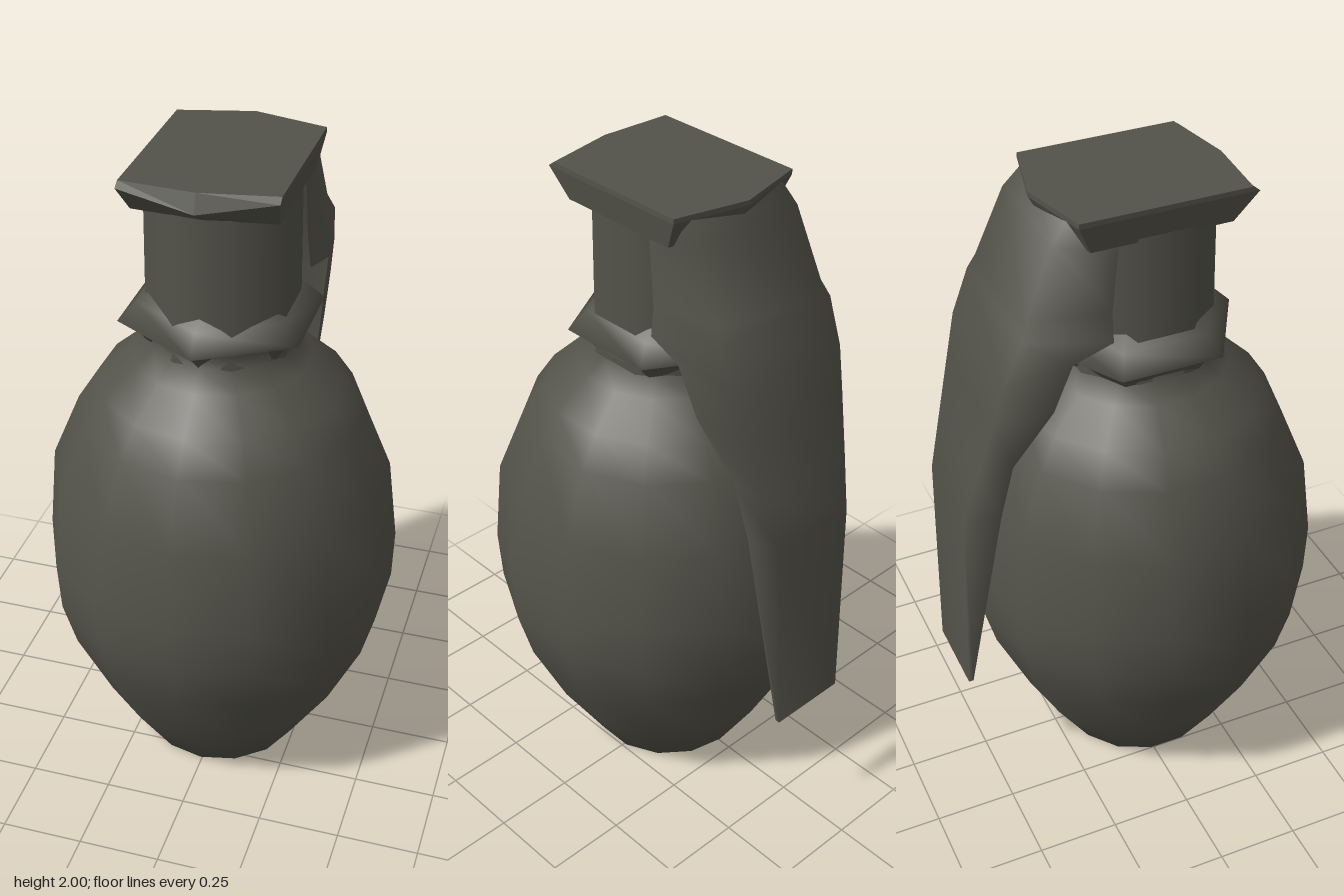
import * as THREE from 'three';

// Skin joining a list of equal-length cross-sections
function loft(rows, closed, flat) {
  const n = rows[0].length, index = [];
  for (let r = 0; r < rows.length - 1; r++) {
    for (let i = 0; i < (closed ? n : n - 1); i++) {
      const a = r * n + i, b = r * n + (i + 1) % n;
      index.push(a, a + n, b, b, a + n, b + n);
    }
  }
  let g = new THREE.BufferGeometry();
  g.setAttribute('position', new THREE.Float32BufferAttribute(rows.flat(2), 3));
  g.setIndex(index);
  if (flat) g = g.toNonIndexed();
  g.computeVertexNormals();
  return g;
}

const lathe = (points, sides) =>
  new THREE.LatheGeometry(points.map(p => new THREE.Vector2(...p)), sides);

export function createModel() {
  const group = new THREE.Group();
  const olive = new THREE.MeshStandardMaterial({ color: 0x54534a, side: THREE.DoubleSide });
  olive.name = 'dark olive metal';
  const add = (name, geometry, x = 0, y = 0, z = 0) => {
    const mesh = new THREE.Mesh(geometry, olive);
    mesh.name = name;
    mesh.position.set(x, y, z);
    group.add(mesh);
  };

  // Egg-shaped body with a closed, rounded-off bottom
  const body = lathe([[0, 0.005], [0.25, 0.005], [0.385, 0.22], [0.49, 0.45], [0.528, 0.6],
    [0.535, 0.76], [0.508, 1.02], [0.425, 1.22], [0.365, 1.31], [0.265, 1.4], [0.21, 1.45],
    [0.22, 1.5]], 14);
  // Faint dents from wear
  const p = body.attributes.position;
  for (let i = 0; i < p.count; i++) {
    const y = p.getY(i), angle = Math.atan2(p.getX(i), p.getZ(i));
    const k = 1 + 0.008 * Math.sin(angle * 3 + y * 5) * Math.sin(Math.PI * y / 1.5);
    p.setX(i, p.getX(i) * k);
    p.setZ(i, p.getZ(i) * k);
  }
  add('body', body, -0.005, 0, 0.047);

  // Six-sided flange around the foot of the neck
  add('collar', lathe([[0.225, 1.45], [0.25, 1.49], [0.305, 1.52], [0.25, 1.575], [0.2, 1.61]], 6),
    -0.01, 0, 0.03);

  // Neck
  const neck = new THREE.CylinderGeometry(0.22, 0.224, 0.5, 8, 1, true);
  neck.rotateY(Math.PI / 8);
  add('neck', neck, -0.003, 1.7, 0.038);

  // Cap: thin plate with a drooping front point, undercut back to the neck
  const outline = [[-0.22, -0.22], [0, -0.275], [0.22, -0.22], [0.22, 0.255], [0, 0.295], [-0.22, 0.28]];
  const rimY = [1.985, 1.985, 1.985, 1.985, 1.945, 1.985];
  add('cap', loft([
    outline.map(() => [0, 2, 0.02]),
    outline.map(([x, z]) => [x, 2, z]),
    outline.map(([x, z], i) => [x, rimY[i], z > 0 ? z + 0.02 : z]),
    outline.map(([x, z]) => [x * 0.93, 1.9, z * 0.83]),
  ], true, true));

  // Safety lever, a folded channel that flares into ears beside the neck:
  // [web y, web z, web half width, flange y, flange z, flange half width]
  const stations = [
    [2, -0.22, 0.165, 1.97, -0.1, 0.19],
    [1.93, -0.28, 0.18, 1.88, -0.1, 0.195],
    [1.73, -0.365, 0.195, 1.7, -0.12, 0.2],
    [1.68, -0.385, 0.215, 1.61, -0.12, 0.21],
    [1.55, -0.44, 0.205, 1.585, -0.25, 0.232],
    [1.42, -0.472, 0.19, 1.43, -0.3, 0.21],
    [1.24, -0.518, 0.165, 1.25, -0.415, 0.175],
    [1.08, -0.56, 0.14, 1.06, -0.45, 0.15],
    [0.43, -0.578, 0.125, 0.43, -0.563, 0.125],
  ];
  add('lever', loft(stations.map(([y, z, w, fy, fz, fw]) =>
    [[-fw, fy, fz], [-w, y, z], [w, y, z], [fw, fy, fz]]), false, false));

  return group;
}
